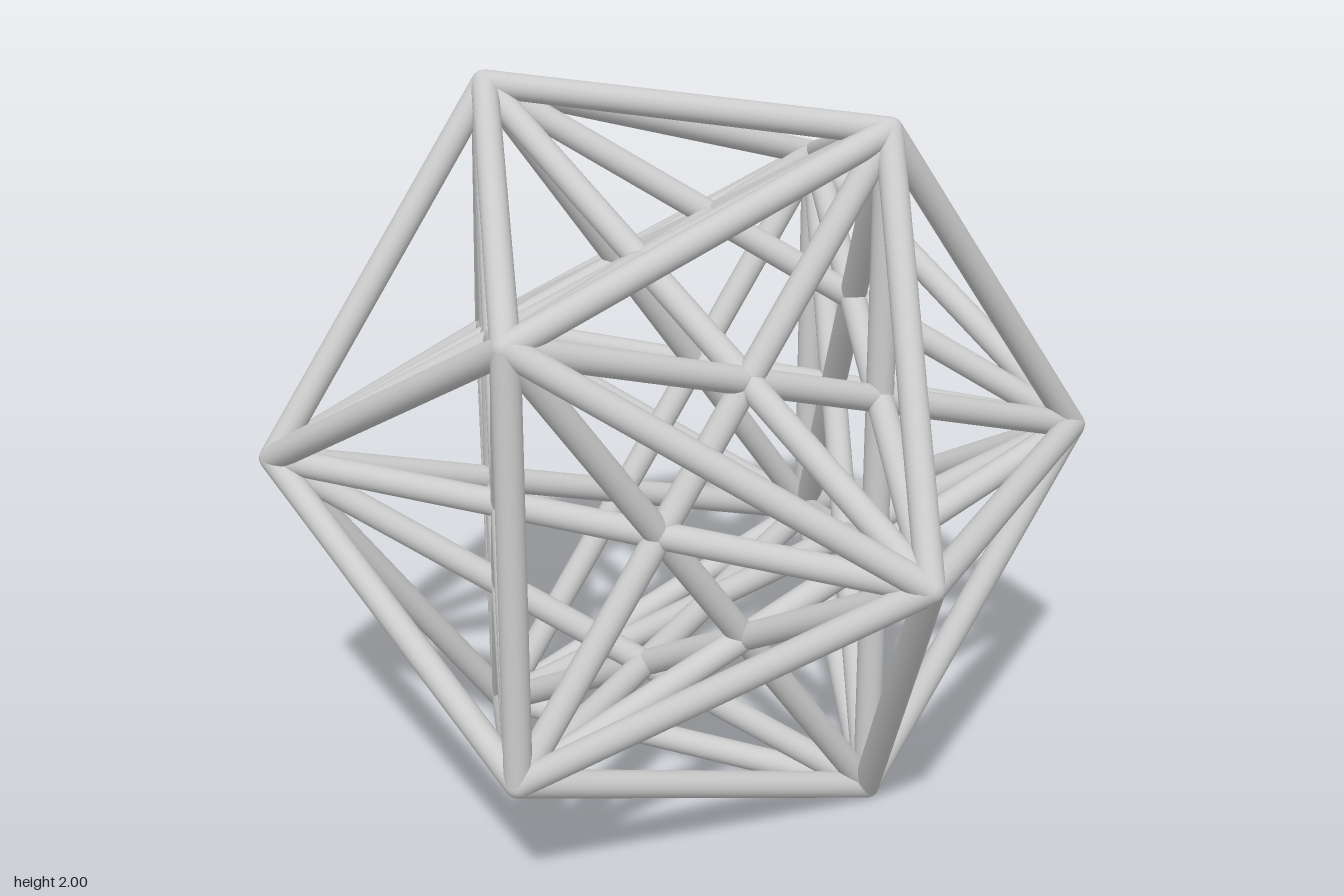
import * as THREE from 'three';

// Icosahedron frame of round bars, with the long pentagon diagonals as an inner star lattice
export function createModel() {
  const model = new THREE.Group();
  const material = new THREE.MeshStandardMaterial({ color: 0xcccccc });
  const phi = (1 + Math.sqrt(5)) / 2;
  const radius = 0.0375;
  const long = 1 - radius;
  const short = long / phi;

  // Twelve corners: three crossed golden rectangles
  const corners = [];
  for (const s of [-1, 1]) {
    for (const l of [-1, 1]) {
      corners.push(
        new THREE.Vector3(s * short, l * long, 0),
        new THREE.Vector3(0, s * short, l * long),
        new THREE.Vector3(l * long, 0, s * short)
      );
    }
  }

  const up = new THREE.Vector3(0, 1, 0);
  function addBar(group, name, a, b) {
    const dir = b.clone().sub(a);
    const bar = new THREE.Mesh(
      new THREE.CylinderGeometry(radius, radius, dir.length(), 20, 1, true), material);
    bar.name = name;
    bar.position.copy(a).add(b).multiplyScalar(0.5);
    bar.quaternion.setFromUnitVectors(up, dir.normalize());
    group.add(bar);
  }

  const outerFrame = new THREE.Group();
  outerFrame.name = 'outerFrame';
  const innerStar = new THREE.Group();
  innerStar.name = 'innerStar';
  const joints = new THREE.Group();
  joints.name = 'joints';

  // Neighbouring corners get an edge bar, next neighbours a diagonal bar, opposites none
  const edge = 2 * short;
  corners.forEach((a, i) => {
    for (const b of corners.slice(i + 1)) {
      const d = a.distanceTo(b);
      if (Math.abs(d - edge) < 0.01) addBar(outerFrame, 'edgeBar', a, b);
      else if (Math.abs(d - edge * phi) < 0.01) addBar(innerStar, 'diagonalBar', a, b);
    }
  });

  // Rounded corner joints
  const ball = new THREE.SphereGeometry(radius, 20, 14);
  for (const c of corners) {
    const joint = new THREE.Mesh(ball, material);
    joint.name = 'cornerJoint';
    joint.position.copy(c);
    joints.add(joint);
  }

  for (const part of [outerFrame, innerStar, joints]) {
    part.position.y = 1;
    model.add(part);
  }
  return model;
}
